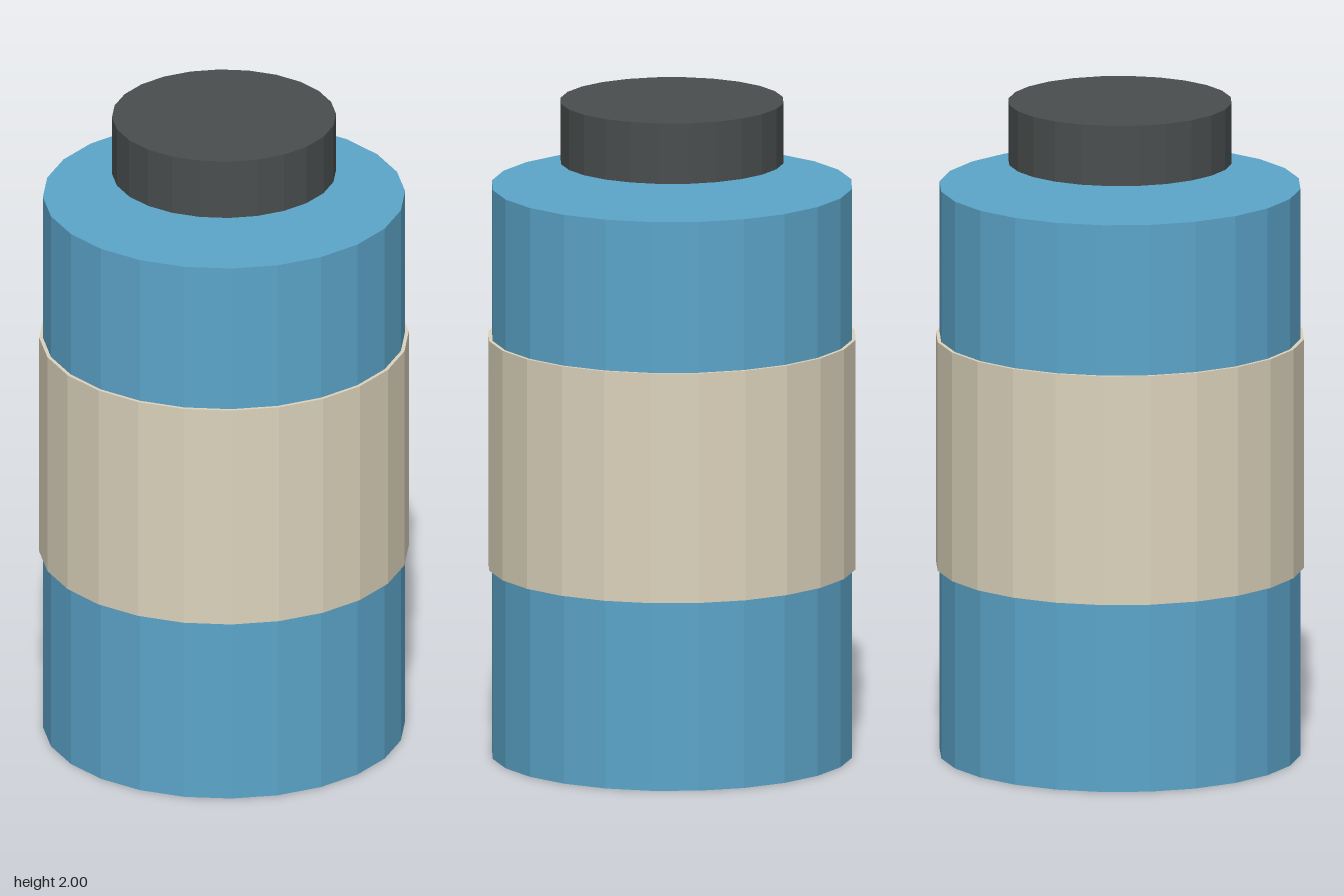
import * as THREE from 'three';

const SIDES = 24;

function material(name, color) {
  const m = new THREE.MeshStandardMaterial({ color, flatShading: true });
  m.name = name;
  return m;
}

// Upright closed cylinder spanning y0 to y1
function drum(name, radius, y0, y1, mat) {
  const mesh = new THREE.Mesh(new THREE.CylinderGeometry(radius, radius, y1 - y0, SIDES), mat);
  mesh.name = name;
  mesh.position.y = (y0 + y1) / 2;
  return mesh;
}

export function createModel() {
  const blue = material('blue', 0x5ca5ca);
  const cream = material('cream', 0xdcd3bc);
  const charcoal = material('charcoal', 0x4a4e4e);

  const group = new THREE.Group();
  group.name = 'canister';
  group.add(
    drum('body', 0.543, 0, 1.742, blue),
    drum('labelBand', 0.554, 0.577, 1.28, cream),
    // The lid hovers just above the body
    drum('lid', 0.336, 1.815, 2, charcoal)
  );
  return group;
}
